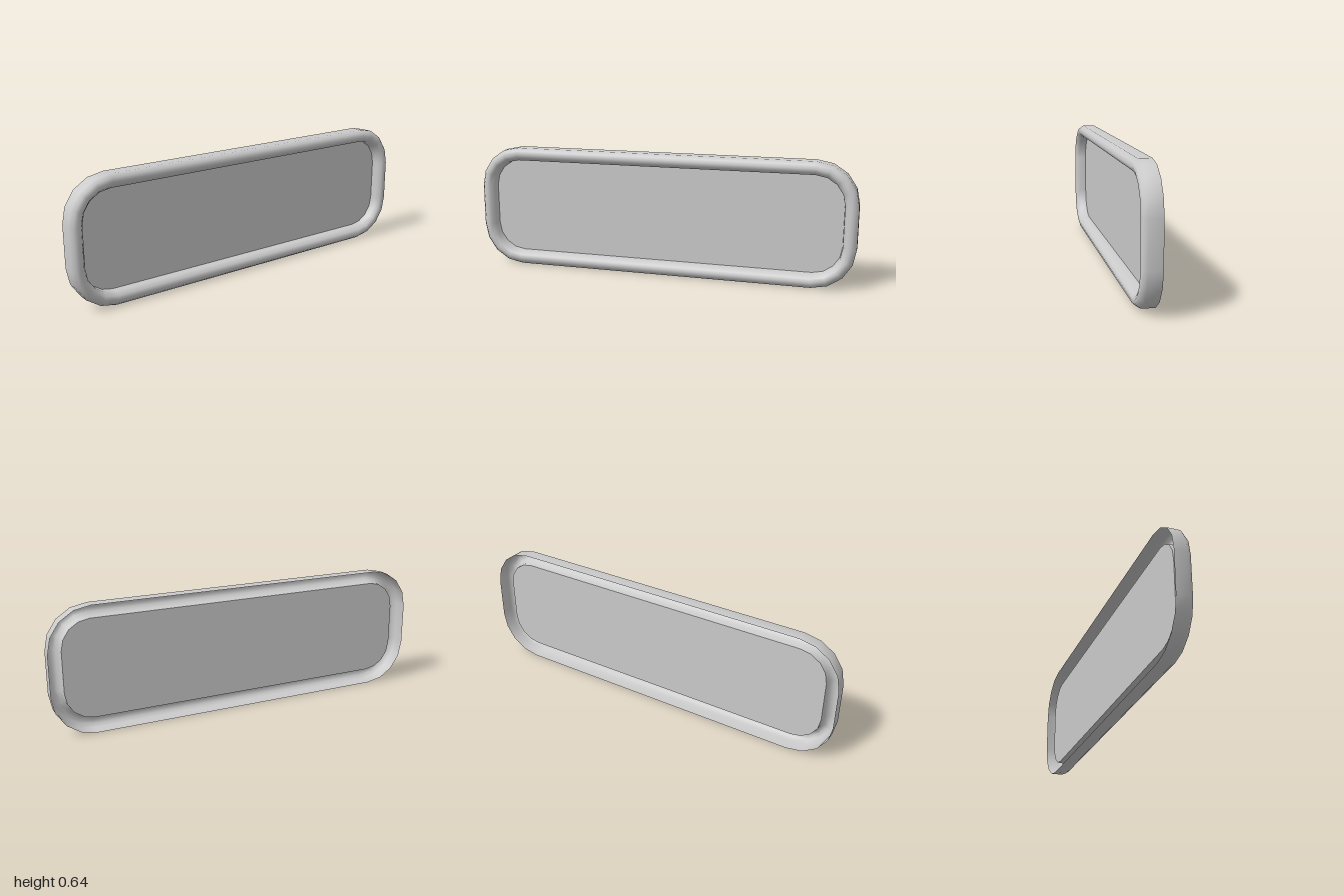
import * as THREE from 'three';

const CY = 0.32;              // centre height
const HALF_L = 0.785;         // corner centres, along z
const HALF_H = 0.105;         // corner centres, along y
const RADIUS = 0.215;         // outer corner radius
const STEPS = 4;              // segments per corner

// Rounded-rectangle outline, inset from the outer edge; x runs along -z
function outline(inset) {
  const r = RADIUS - inset, points = [];
  [[1, 1], [-1, 1], [-1, -1], [1, -1]].forEach(([su, sv], q) => {
    for (let k = 0; k <= STEPS; k++) {
      const a = (q + k / STEPS) * Math.PI / 2;
      points.push(new THREE.Vector2(
        su * HALF_L + r * Math.cos(a), CY + sv * HALF_H + r * Math.sin(a)));
    }
  });
  return points;
}

// Sweeps a profile of [x, inset] pairs around the outline
function sweptRim(profile) {
  const positions = [], index = [];
  profile.forEach(([x, inset]) =>
    outline(inset).forEach(p => positions.push(x, p.y, -p.x)));
  const n = 4 * (STEPS + 1);
  for (let i = 0; i < profile.length - 1; i++) {
    for (let j = 0; j < n; j++) {
      const a = i * n + j, b = i * n + (j + 1) % n;
      index.push(a, b, a + n, b, b + n, a + n);
    }
  }
  const geometry = new THREE.BufferGeometry();
  geometry.setAttribute('position', new THREE.Float32BufferAttribute(positions, 3));
  geometry.setIndex(index);
  geometry.computeVertexNormals();
  return geometry;
}

export function createModel() {
  const group = new THREE.Group();
  group.name = 'framedPanel';
  const material = new THREE.MeshStandardMaterial({ color: 0xcccccc, side: THREE.DoubleSide });

  // Hollow rim, open at the back: outer wall, rounded crest, inner wall
  const rim = new THREE.Mesh(sweptRim([
    [-0.045, 0], [0.019, 0], [0.038, 0.015], [0.044, 0.034],
    [0.038, 0.052], [0.018, 0.067], [-0.016, 0.07],
  ]), material);
  rim.name = 'rim';
  group.add(rim);

  // Recessed flat panel closing the inner wall
  const panelGeometry = new THREE.ShapeGeometry(new THREE.Shape(outline(0.07)));
  panelGeometry.rotateY(Math.PI / 2);
  panelGeometry.translate(-0.016, 0, 0);
  const panel = new THREE.Mesh(panelGeometry, material);
  panel.name = 'panel';
  group.add(panel);

  return group;
}
